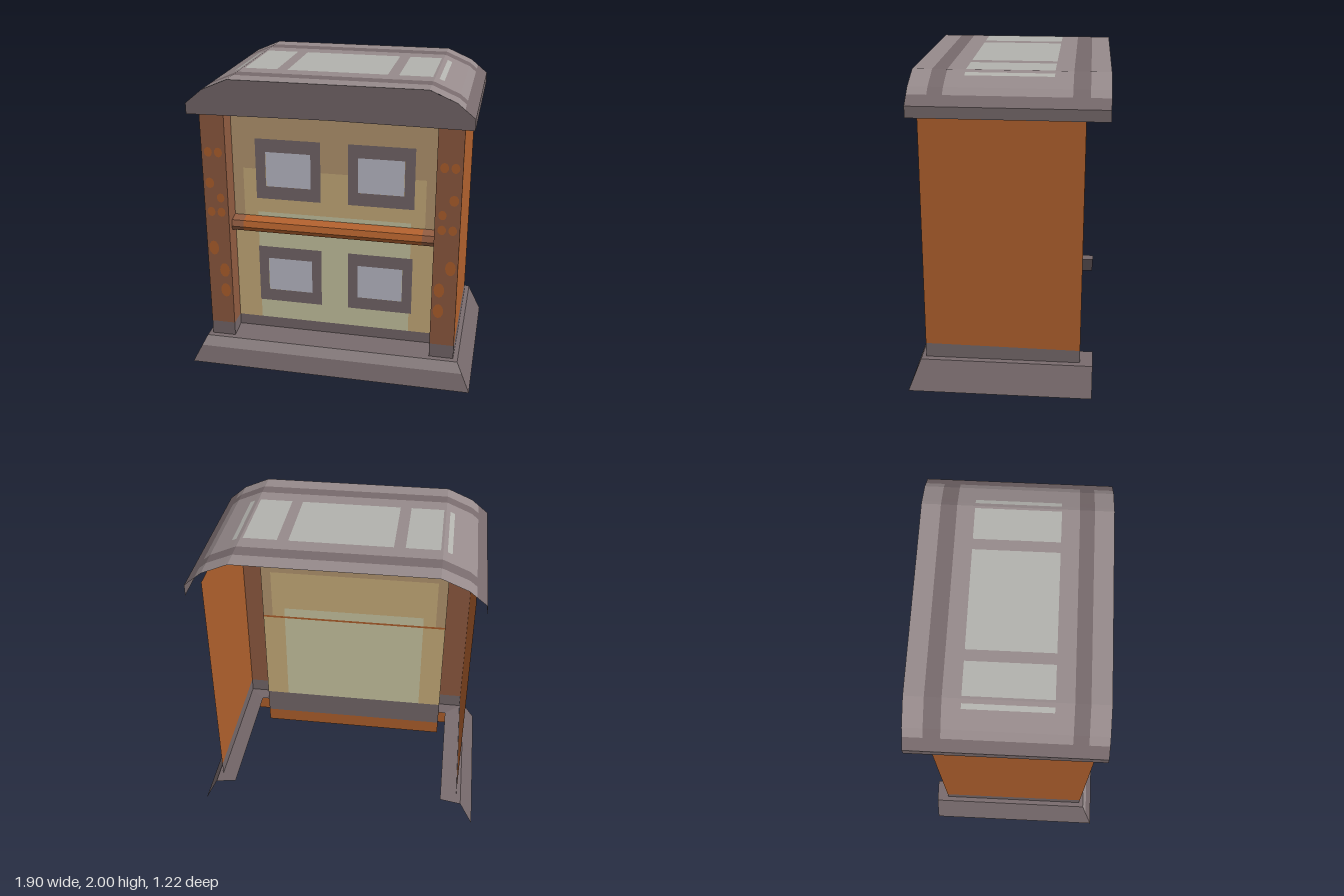
import * as THREE from 'three';

const paint = (name, color) => {
  const m = new THREE.MeshStandardMaterial({ color, side: THREE.DoubleSide });
  m.name = name;
  return m;
};

export function createModel() {
  const group = new THREE.Group();
  const slate = paint('dark mauve stone', 0x776a6c);
  const stone = paint('mid mauve stone', 0x978b8c);
  const pale = paint('pale roof panel', 0xb3b3ae);
  const orange = paint('orange wood', 0xb3622e);
  const brown = paint('brown wood', 0x925d42);
  const cream = paint('cream plaster', 0xcfcba6);
  const tan = paint('tan plaster', 0xceb27e);
  const umber = paint('umber plaster', 0xba9b73);
  const glass = paint('window glass', 0xc1c2cf);

  const add = (name, geometry, material) => {
    const mesh = new THREE.Mesh(geometry, material);
    mesh.name = name;
    group.add(mesh);
    return mesh;
  };

  // Thin sheet over a grid of breaks; pick chooses each cell's material at its middle
  const sheet = (name, us, vs, point, pick) => {
    const pos = [], mats = [], geo = new THREE.BufferGeometry();
    for (let i = 0; i < us.length - 1; i++) {
      for (let j = 0; j < vs.length - 1; j++) {
        const mat = pick((us[i] + us[i + 1]) / 2, (vs[j] + vs[j + 1]) / 2);
        if (!mat) continue;
        const a = point(us[i], vs[j]), b = point(us[i + 1], vs[j]);
        const c = point(us[i + 1], vs[j + 1]), d = point(us[i], vs[j + 1]);
        if (!mats.includes(mat)) mats.push(mat);
        geo.addGroup(pos.length / 3, 6, mats.indexOf(mat));
        pos.push(...a, ...b, ...c, ...a, ...c, ...d);
      }
    }
    geo.setAttribute('position', new THREE.Float32BufferAttribute(pos, 3));
    geo.computeVertexNormals();
    return add(name, geo, mats);
  };
  const mirrored = (list) => [...list.map((v) => -v).reverse(), ...list];

  // Base skirt: mitred profile [half width, front z, height], open at the back
  const skirt = [[0.95, 0.61, 0], [0.895, 0.567, 0.11], [0.86, 0.54, 0.18], [0.72, 0.38, 0.205]];
  sheet('baseSkirt', [0, 1, 2, 3], [0, 1, 2, 3], (u, v) => {
    const [x, z, y] = skirt[v];
    return [u < 2 ? -x : x, y, u === 1 || u === 2 ? z : -0.55];
  }, (u, v) => (u === 1.5 && v === 1.5 ? stone : slate));

  // Corner pillars running into the side walls
  const plan = [[0.67, 0.38], [0.67, 0.51], [0.83, 0.51], [0.83, -0.47]];
  for (const s of [1, -1]) {
    const side = s > 0 ? 'left' : 'right';
    const us = s > 0 ? [0, 1, 2, 3] : [3, 2, 1, 0];
    sheet(side + 'PillarAndWall', us, [0, 0.1, 0.18, 0.28, 1.78],
      (u, v) => [s * plan[u][0], v === 0.28 && u === 3 ? 0.27 : v, plan[u][1]],
      (u, v) => {
        if (v < 0.18 && u > 2) return null;
        if (v < 0.1) return orange;
        if (v < 0.28) return slate;
        return u > 2 ? orange : brown;
      });

    // Orange spots on the pillar front: x, y, radius
    const spots = [[0.785, 1.51, 0.027], [0.717, 1.51, 0.027], [0.785, 1.3, 0.03], [0.717, 1.2, 0.026],
      [0.785, 1.1, 0.027], [0.717, 1.1, 0.027], [0.783, 0.84, 0.034], [0.717, 0.68, 0.034], [0.717, 0.53, 0.034]];
    for (const [x, y, r] of spots) {
      const spot = add(side + 'PillarSpot', new THREE.CircleGeometry(r, 12), orange);
      spot.scale.y = r > 0.03 ? 1.5 : 1.2;
      spot.position.set(s * x, y, 0.514);
    }
  }

  // Recessed front wall with painted bands
  sheet('frontWall', mirrored([0.51, 0.6, 0.67]), [0, 0.1, 0.28, 0.985, 1, 1.07, 1.37, 1.79],
    (x, y) => [x, y, 0.38],
    (x, y) => {
      const ax = Math.abs(x);
      if (y < 0.1) return orange;
      if (y < 0.28) return slate;
      if (y > 0.985 && y < 1) return orange;
      if (y > 1.37 || (y > 1 && ax > 0.6)) return umber;
      return y < 1.07 && ax < 0.51 ? cream : tan;
    });

  // Cross beam between the storeys: profile [z, y]
  const beam = [[0.381, 0.95], [0.45, 0.955], [0.465, 0.985], [0.45, 1.025], [0.381, 1.04]];
  sheet('crossBeam', mirrored([0.59, 0.67]), [0, 1, 2, 3, 4],
    (x, v) => [x, beam[v][1], beam[v][0]],
    (x) => (Math.abs(x) > 0.59 ? brown : orange));

  // Four framed windows
  for (const [cx, x0] of [[-0.2975, -0.295], [0.3125, 0.31]]) {
    for (const [cy, h, ph] of [[1.373, 0.41, 0.235], [0.62, 0.405, 0.235]]) {
      const outer = new THREE.Shape();
      const w = 0.43, pw = 0.3;
      outer.moveTo(-w / 2, -h / 2).lineTo(w / 2, -h / 2).lineTo(w / 2, h / 2).lineTo(-w / 2, h / 2);
      const hole = new THREE.Path();
      hole.moveTo(-pw / 2, -ph / 2).lineTo(-pw / 2, ph / 2).lineTo(pw / 2, ph / 2).lineTo(pw / 2, -ph / 2);
      outer.holes.push(hole);
      add('windowFrame', new THREE.ShapeGeometry(outer), slate).position.set(cx, cy, 0.387);
      add('windowPane', new THREE.PlaneGeometry(pw, ph), glass).position.set(x0, cy, 0.386);
    }
  }

  // Roof shell: half profile [x, y], with breaks where the panels begin and end
  const half = [[0.32, 2], [0.39, 2], [0.6, 2], [0.615, 2], [0.64, 1.99], [0.67, 1.977],
    [0.78, 1.93], [0.825, 1.893], [0.89, 1.84], [0.89, 1.77]];
  const profile = [...half.map(([x, y]) => [-x, y]).reverse(), ...half];
  sheet('roof', profile.map((_, i) => i), [0.57, 0.45, 0.36, 0.25, -0.28, -0.39, -0.49, -0.61],
    (u, z) => [...profile[u], z],
    (u, z) => {
      const x = Math.abs(profile[Math.floor(u)][0] + profile[Math.ceil(u)][0]) / 2;
      if (x > 0.825 || (z > 0.36 && z < 0.45) || (z < -0.39 && z > -0.49)) return slate;
      const panel = x < 0.32 || (x > 0.39 && x < 0.6) || (x > 0.64 && x < 0.67);
      return panel && z < 0.25 && z > -0.28 ? pale : stone;
    });

  // Front gable closing the roof
  const gable = new THREE.Shape([[-0.89, 1.77], [0, 1.78], [0.89, 1.77], [0.89, 1.84], [0.78, 1.93],
    [0.615, 2], [-0.615, 2], [-0.78, 1.93], [-0.89, 1.84]].map(([x, y]) => new THREE.Vector2(x, y)));
  add('roofGable', new THREE.ShapeGeometry(gable), slate).position.z = 0.57;

  return group;
}
